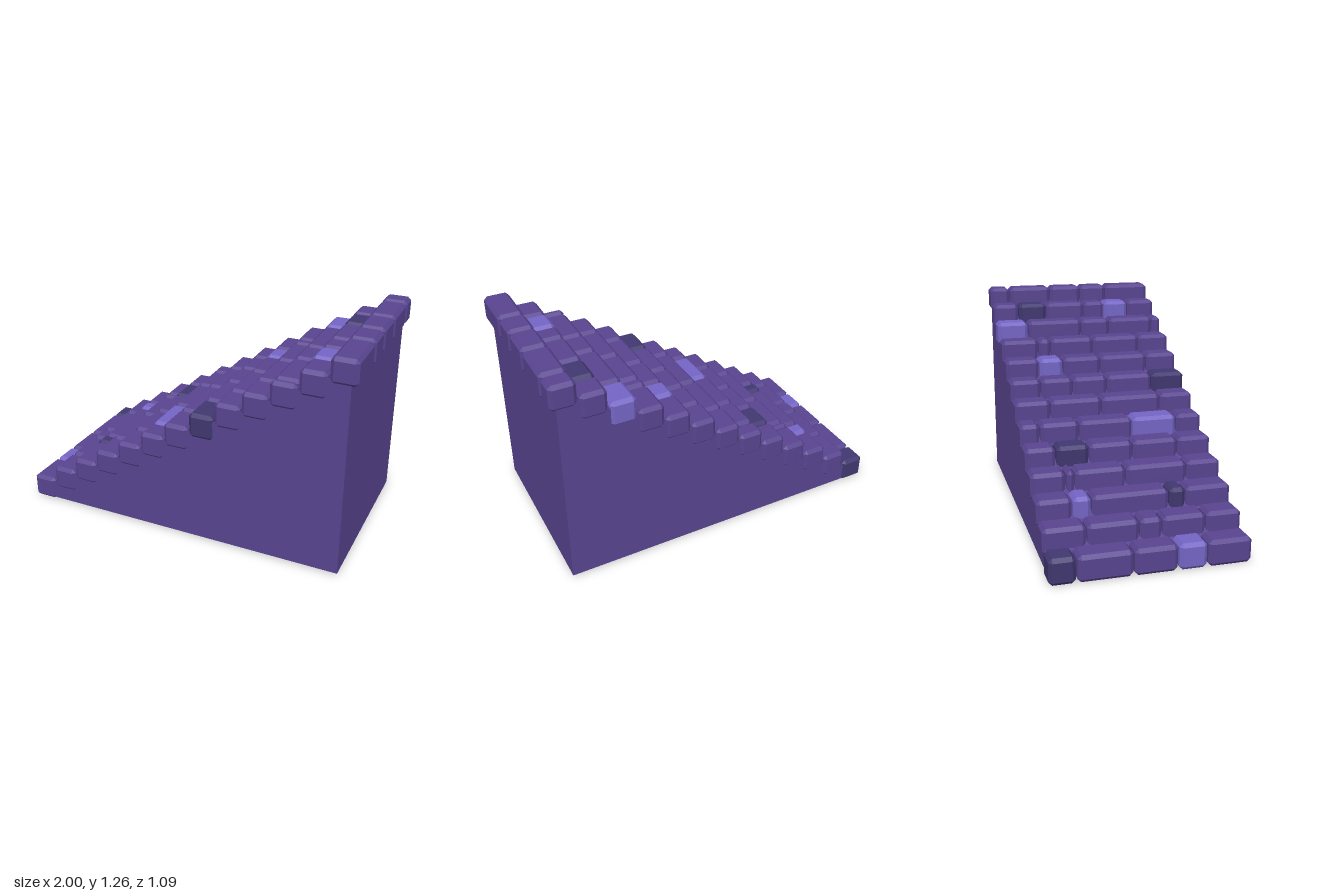
import * as THREE from 'three';
import { ConvexGeometry } from 'three/addons/geometries/ConvexGeometry.js';

const material = (color) => new THREE.MeshStandardMaterial({ color, flatShading: true });

// Box with bevelled edges: the hull of three corner points at each corner
function bevelledBox(w, h, d, bevel) {
  const points = [];
  for (const sx of [-1, 1]) for (const sy of [-1, 1]) for (const sz of [-1, 1]) {
    const x = w / 2, y = h / 2, z = d / 2, b = bevel;
    points.push(
      new THREE.Vector3(sx * x, sy * (y - b), sz * (z - b)),
      new THREE.Vector3(sx * (x - b), sy * y, sz * (z - b)),
      new THREE.Vector3(sx * (x - b), sy * (y - b), sz * z));
  }
  return new ConvexGeometry(points);
}

// Joints along z for each row of bricks, from the lowest step to the highest
const ROWS = [
  [-0.40, -0.10, 0.14, 0.30],
  [-0.31, -0.025, 0.10, 0.345],
  [-0.35, -0.245, 0.19, 0.285],
  [-0.35, -0.30, -0.01, 0.345],
  [-0.37, -0.18, 0.075, 0.345],
  [-0.43, -0.20, 0.12, 0.39],
  [-0.335, -0.025, 0.34],
  [-0.36, -0.165, 0.05, 0.335],
  [-0.34, -0.19, 0.05, 0.35],
  [-0.315, -0.235, 0.04, 0.345],
  [-0.35, 0, 0.19, 0.485],
  [-0.385, -0.20, 0.055, 0.195, 0.36],
  [-0.417, -0.143, 0.067, 0.247],
];
// Bricks of another shade, as "row,brick"
const LIGHT = ['0,3', '2,1', '5,3', '8,1', '10,0', '11,4'];
const DARK = ['0,0', '2,3', '4,1', '7,4', '11,1'];

export function createModel() {
  const model = new THREE.Group();
  const base = material(0x58448f), light = material(0x7465c4), dark = material(0x40376f);

  // Solid wedge beneath the steps
  const profile = new THREE.Shape();
  profile.moveTo(-0.9, 0.01);
  profile.lineTo(0.965, 0.01);
  profile.lineTo(0.965, 1.205);
  profile.lineTo(-0.9, 0.095);
  const wedgeGeometry = new THREE.ExtrudeGeometry(profile, { depth: 1.06, bevelEnabled: false });
  wedgeGeometry.translate(0, 0, -0.53);
  const wedge = new THREE.Mesh(wedgeGeometry, base);
  wedge.name = 'wedge';
  model.add(wedge);

  // Steps, each a row of bevelled bricks
  const size = 0.146, end = 0.545, gap = 0.008;
  ROWS.forEach((joints, row) => {
    const step = new THREE.Group();
    step.name = `step${row + 1}`;
    step.position.set(-0.927 + row * 0.1545, 0.073 + row * 0.0929, 0);
    const edges = [-end - gap / 2, ...joints, end + gap / 2];
    for (let i = 0; i < edges.length - 1; i++) {
      const length = edges[i + 1] - edges[i] - gap;
      const key = `${row},${i}`;
      const shade = LIGHT.includes(key) ? light : DARK.includes(key) ? dark : base;
      const brick = new THREE.Mesh(bevelledBox(size, size, length, Math.min(0.02, length * 0.4)), shade);
      brick.name = 'brick';
      brick.position.z = (edges[i] + edges[i + 1]) / 2;
      step.add(brick);
    }
    model.add(step);
  });
  return model;
}
